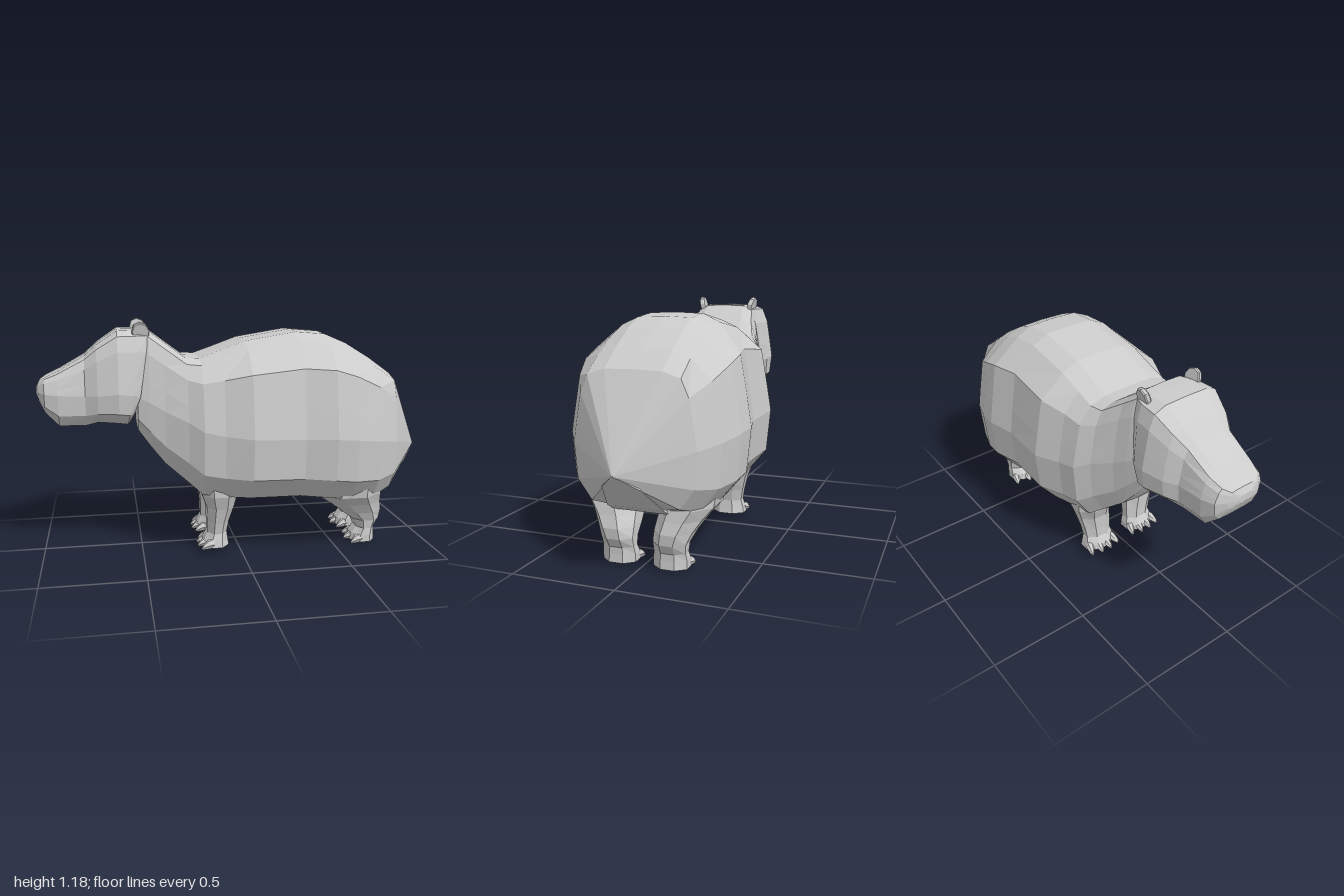
import * as THREE from 'three';

const material = new THREE.MeshStandardMaterial({ color: 0xcccccc, flatShading: true });

// Skin a list of closed rings (arrays of [x, y, z]) with faceted quads and end caps.
function loft(name, rings) {
  const pos = [];
  const n = rings[0].length;
  const tri = (a, b, c) => pos.push(...a, ...b, ...c);
  const centre = r => [0, 1, 2].map(k => r.reduce((s, p) => s + p[k], 0) / n);
  for (let i = 0; i < rings.length - 1; i++) {
    for (let j = 0; j < n; j++) {
      const k = (j + 1) % n;
      const a = rings[i][j], b = rings[i + 1][j], c = rings[i + 1][k], d = rings[i][k];
      tri(a, d, b);
      tri(d, c, b);
    }
  }
  const first = rings[0], last = rings[rings.length - 1];
  const c0 = centre(first), c1 = centre(last);
  for (let j = 0; j < n; j++) {
    const k = (j + 1) % n;
    tri(c0, first[k], first[j]);
    tri(c1, last[j], last[k]);
  }
  const g = new THREE.BufferGeometry();
  g.setAttribute('position', new THREE.Float32BufferAttribute(pos, 3));
  g.computeVertexNormals();
  const mesh = new THREE.Mesh(g, material);
  mesh.name = name;
  return mesh;
}

// Cross-section of the trunk: a flat back of nearly constant width, round flanks, flat belly.
// Lean shifts the upper half backward and the lower half forward.
function trunkRing([x, top, mid, bottom, halfWidth, lean = 0]) {
  const w = halfWidth;
  const half = [[0, 1], [Math.min(0.135, 0.5 * w), 0.99], [Math.min(0.22, 0.75 * w), 0.91],
    [0.87 * w, 0.67], [0.95 * w, 0.27], [w, 0],
    [0.95 * w, -0.62], [0.72 * w, -0.96], [0.33 * w, -1], [0, -1]];
  const point = (s, [z, h]) =>
    [x + lean * h, mid + h * (h > 0 ? top - mid : mid - bottom), s * z];
  return [...half.map(p => point(1, p)),
    ...half.slice(1, -1).reverse().map(p => point(-1, p))];
}

// Stations from nose to rump: x, top, widest height, bottom, half width, lean
const head = [
  [-1.0, 0.86, 0.84, 0.82, 0.04],
  [-0.985, 0.89, 0.84, 0.79, 0.095],
  [-0.955, 0.91, 0.835, 0.735, 0.138],
  [-0.89, 0.94, 0.83, 0.668, 0.156],
  [-0.76, 1.015, 0.825, 0.668, 0.163],
  [-0.7, 1.07, 0.83, 0.688, 0.204],
  [-0.6, 1.138, 0.84, 0.682, 0.236],
  [-0.53, 1.14, 0.83, 0.675, 0.226, 0.03],
  [-0.495, 1.138, 0.82, 0.69, 0.2, 0.05],
];
const body = [
  [-0.51, 1.1, 0.82, 0.64, 0.185],
  [-0.45, 1.138, 0.79, 0.555, 0.206],
  [-0.38, 1.085, 0.75, 0.465, 0.228],
  [-0.27, 1.003, 0.7, 0.37, 0.28],
  [-0.2, 1.0, 0.66, 0.31, 0.33],
  [-0.1, 1.035, 0.64, 0.298, 0.348],
  [0.03, 1.083, 0.63, 0.297, 0.402],
  [0.29, 1.125, 0.62, 0.292, 0.388],
  [0.44, 1.112, 0.62, 0.28, 0.422],
  [0.55, 1.065, 0.61, 0.263, 0.41],
  [0.68, 0.985, 0.59, 0.26, 0.365],
  [0.79, 0.905, 0.57, 0.3, 0.292],
  [1.0, 0.492, 0.49, 0.488, 0.003],
];

// Flat wedge under the tail: x, top, bottom, half width
const tail = [[0.73, 0.4, 0.262, 0.135], [0.79, 0.45, 0.298, 0.135],
  [0.92, 0.48, 0.418, 0.09], [0.985, 0.488, 0.476, 0.02]];
const tailRing = ([x, y1, y0, w]) => [[x, y1, w * 0.7], [x, y0, w], [x, y0, -w], [x, y1, -w * 0.7]];

// Leg levels from top to ground: y, front x, back x, inner z, outer z
const frontLeg = [
  [0.44, -0.2, -0.04, 0.1, 0.27],
  [0.31, -0.2, -0.02, 0.06, 0.265],
  [0.24, -0.175, -0.035, 0.06, 0.24],
  [0.16, -0.17, -0.06, 0.06, 0.22],
  [0.1, -0.17, -0.07, 0.06, 0.21],
  [0.06, -0.19, -0.065, 0.05, 0.22],
  [0.03, -0.195, -0.06, 0.05, 0.225],
];
const hindLeg = [
  [0.4, 0.46, 0.7, 0.1, 0.33],
  [0.285, 0.4, 0.735, 0.06, 0.31],
  [0.23, 0.48, 0.745, 0.055, 0.265],
  [0.175, 0.55, 0.76, 0.05, 0.23],
  [0.125, 0.615, 0.757, 0.05, 0.208],
  [0.08, 0.635, 0.732, 0.05, 0.203],
  [0.045, 0.61, 0.732, 0.045, 0.208],
  [0.006, 0.605, 0.735, 0.045, 0.208],
];

function legRing([y, x0, x1, z0, z1], s) {
  const cx = (x0 + x1) / 2, cz = s * (z0 + z1) / 2;
  const k = 0.5 / Math.cos(Math.PI / 8);
  return Array.from({ length: 8 }, (_, j) => {
    const a = (j + 0.5) * Math.PI / 4;
    return [cx + k * Math.cos(a) * (x1 - x0), y, cz + k * Math.sin(a) * (z1 - z0)];
  });
}

// Tapering toe reaching forward and curling to the ground
function toe(x, y, z, length, spread) {
  const steps = [[-0.03, 0.027, 0.024], [0.4, 0.024, 0.022], [0.8, 0.015, 0.015], [1, 0.006, 0.006]];
  return loft('toe', steps.map(([t, h, w]) =>
    Array.from({ length: 6 }, (_, j) => {
      const a = j * Math.PI / 3;
      return [x - t * length, y + h * (1 + Math.sin(a)), z + spread * t + w * Math.cos(a)];
    })));
}

function leg(name, levels, s, toes) {
  const g = new THREE.Group();
  g.name = name;
  g.add(loft('limb', levels.map(l => legRing(l, s))));
  const [y, x0, , z0, z1] = levels[levels.length - 1];
  for (let i = 0; i < toes; i++) {
    const u = i / (toes - 1) * 2 - 1;
    const z = s * (z0 + z1) / 2 + u * ((z1 - z0) / 2 - 0.022);
    g.add(toe(x0 + 0.035 + 0.015 * u * u, y - 0.006, z, 0.062, u * 0.018));
  }
  return g;
}

// Small rounded ear, a thin plate leaning outward
function ear(s) {
  const shape = new THREE.Shape();
  shape.moveTo(-0.036, -0.012);
  shape.lineTo(0.036, -0.012);
  shape.lineTo(0.04, 0.022);
  shape.lineTo(0.024, 0.05);
  shape.lineTo(-0.004, 0.061);
  shape.lineTo(-0.03, 0.05);
  shape.lineTo(-0.038, 0.022);
  const g = new THREE.ExtrudeGeometry(shape,
    { depth: 0.014, bevelEnabled: true, bevelThickness: 0.006, bevelSize: 0.004, bevelSegments: 1 });
  g.translate(0, 0, -0.007);
  const mesh = new THREE.Mesh(g, material);
  mesh.name = 'ear';
  mesh.position.set(-0.487, 1.115, s * 0.14);
  mesh.rotation.set(s * 0.25, s * 0.1, 0);
  return mesh;
}

export function createModel() {
  const model = new THREE.Group();
  model.name = 'capybara';
  model.add(loft('head', head.map(trunkRing)), loft('body', body.map(trunkRing)),
    loft('tail', tail.map(tailRing)));
  for (const s of [1, -1]) {
    model.add(ear(s), leg('frontLeg', frontLeg, s, 4), leg('hindLeg', hindLeg, s, 3));
  }
  return model;
}
